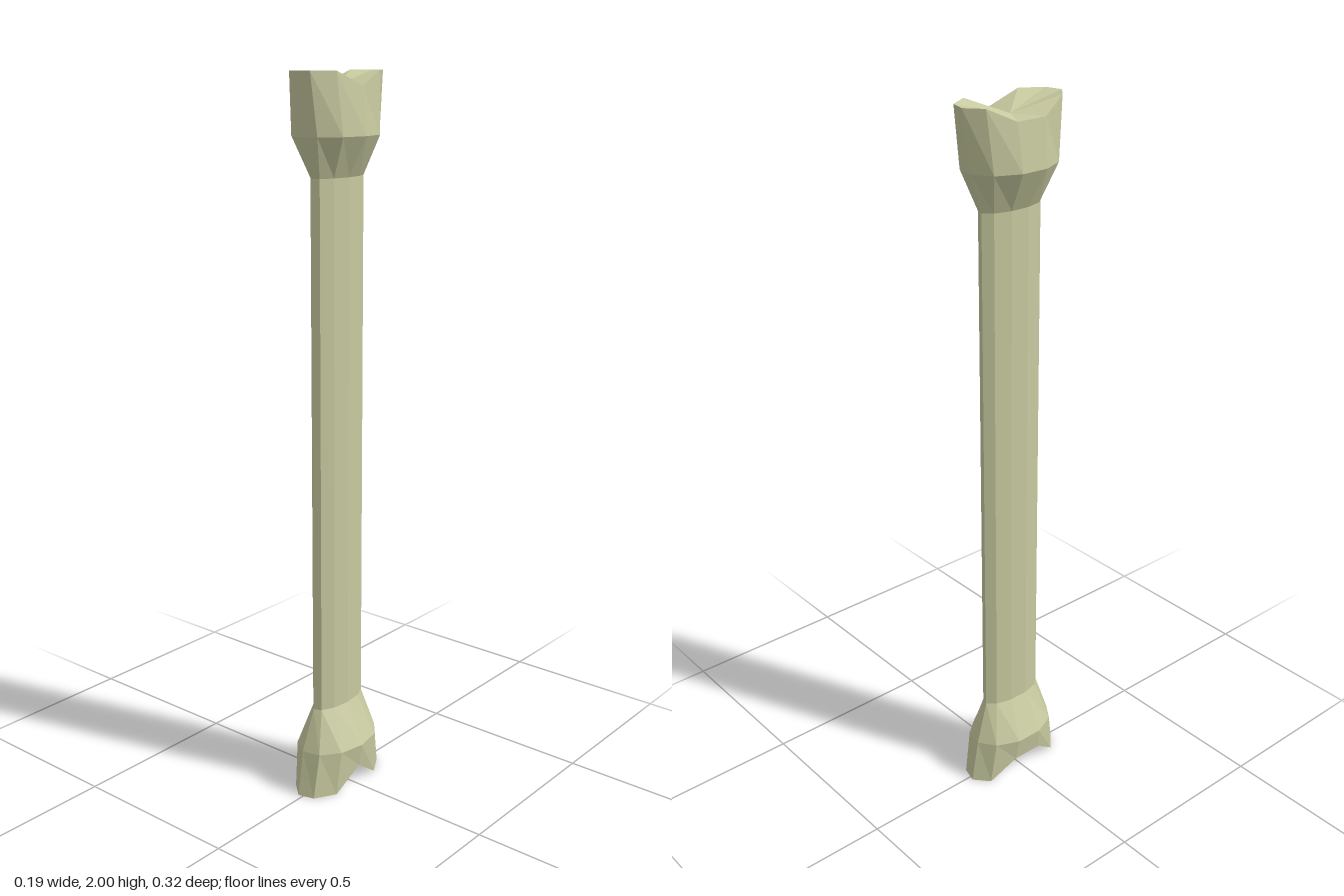
import * as THREE from 'three';

const SIDES = 11;

// Rings from bottom to top: height, x radius, z radius, rise of the saddle notch
const RINGS = [
  { y: 0.0, rx: 0.083, rz: 0.16, notch: 0.062 },
  { y: 0.13, rx: 0.094, rz: 0.138, notch: 0 },
  { y: 0.25, rx: 0.041, rz: 0.098, notch: 0 },
  { y: 1.735, rx: 0.041, rz: 0.098, notch: 0 },
  { y: 1.84, rx: 0.098, rz: 0.138, notch: 0 },
  { y: 2.0, rx: 0.084, rz: 0.16, notch: -0.037 },
];

// Elliptical cross-section; the vertices nearest the x axis dip into the notch
function ringPoints({ y, rx, rz, notch }) {
  const points = [];
  for (let i = 0; i < SIDES; i++) {
    const a = (i / SIDES) * Math.PI * 2;
    const dip = Math.abs(Math.sin(a)) < 0.4 ? notch : 0;
    points.push(new THREE.Vector3(rx * Math.cos(a) - 0.002, y + dip, rz * Math.sin(a)));
  }
  return points;
}

function flatGeometry(points) {
  const geometry = new THREE.BufferGeometry().setFromPoints(points);
  geometry.computeVertexNormals();
  return geometry;
}

// Side wall through consecutive rings
function wall(rings) {
  const loops = rings.map(ringPoints);
  const points = [];
  for (let r = 0; r < loops.length - 1; r++) {
    for (let i = 0; i < SIDES; i++) {
      const j = (i + 1) % SIDES;
      const [a, b, c, d] = [loops[r][i], loops[r][j], loops[r + 1][j], loops[r + 1][i]];
      points.push(a, d, c, a, c, b);
    }
  }
  return flatGeometry(points);
}

// Saddle-shaped end: a fan around a sunken centre
function saddle(ring, facesUp) {
  const loop = ringPoints(ring);
  const centre = new THREE.Vector3(-0.002, ring.y + ring.notch, 0);
  const points = [];
  loop.forEach((p, i) => {
    const q = loop[(i + 1) % SIDES];
    points.push(centre, facesUp ? q : p, facesUp ? p : q);
  });
  return flatGeometry(points);
}

export function createModel() {
  const model = new THREE.Group();
  model.name = 'bone';
  const material = new THREE.MeshStandardMaterial({ color: 0xc8caa0, flatShading: true });

  const add = (name, geometry) => {
    const mesh = new THREE.Mesh(geometry, material);
    mesh.name = name;
    model.add(mesh);
  };

  add('lowerKnuckle', wall(RINGS.slice(0, 3)));
  add('shaft', wall(RINGS.slice(2, 4)));
  add('upperKnuckle', wall(RINGS.slice(3)));
  add('lowerSaddle', saddle(RINGS[0], false));
  add('upperSaddle', saddle(RINGS[5], true));
  return model;
}
